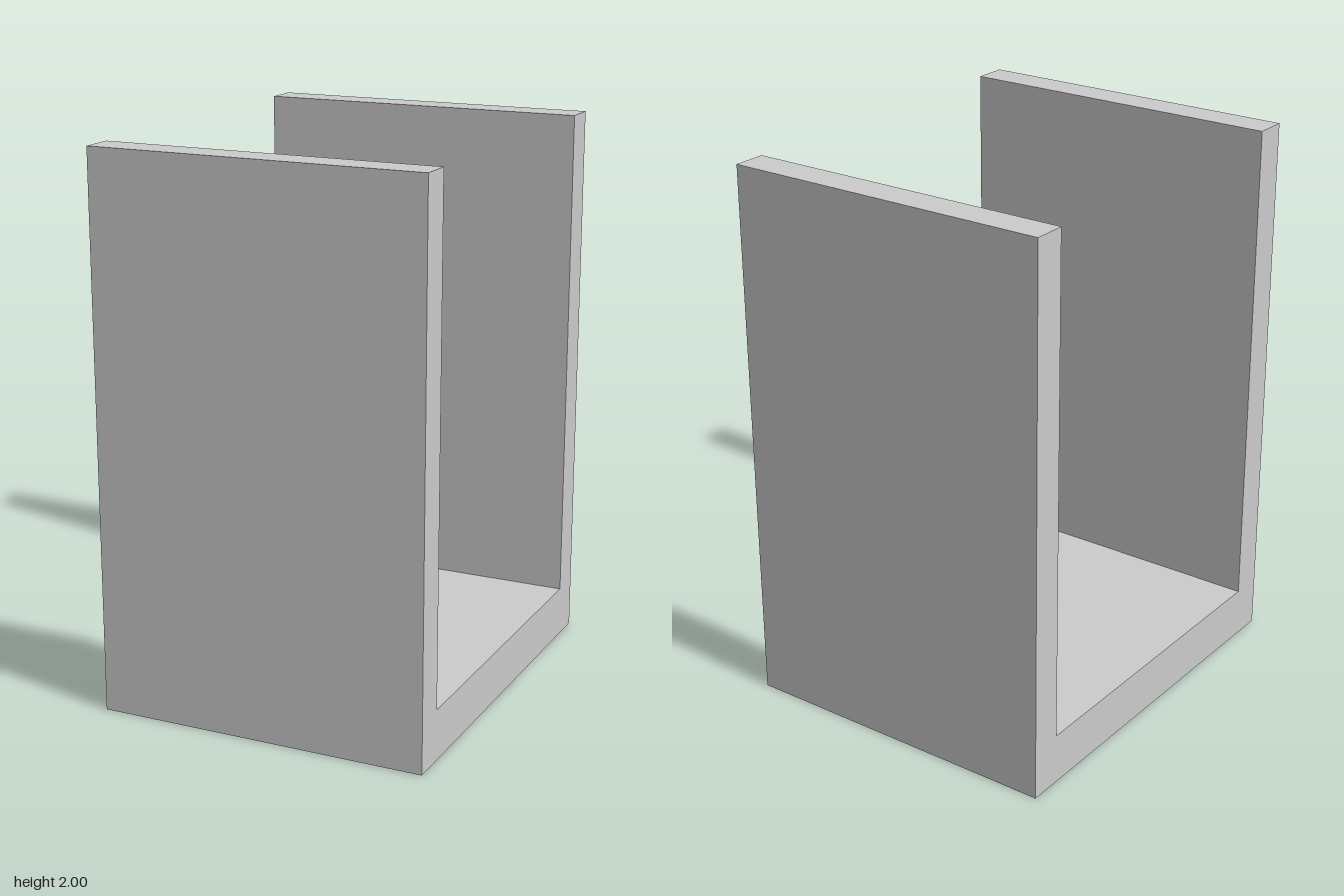
import * as THREE from 'three';

export function createModel() {
  const group = new THREE.Group();
  group.name = 'channelBracket';

  const width = 1.212;      // along x
  const outer = 0.727;      // half depth outside the walls
  const inner = 0.606;      // half depth between the walls
  const height = 2;
  const floor = 0.185;      // base thickness

  // U-shaped cross-section, swept along x
  const profile = new THREE.Shape([
    [-outer, 0], [outer, 0], [outer, height], [inner, height],
    [inner, floor], [-inner, floor], [-inner, height], [-outer, height],
  ].map(([z, y]) => new THREE.Vector2(z, y)));

  const geometry = new THREE.ExtrudeGeometry(profile, { depth: width, bevelEnabled: false });
  geometry.translate(0, 0, -width / 2);
  geometry.rotateY(Math.PI / 2);

  const channel = new THREE.Mesh(
    geometry,
    new THREE.MeshStandardMaterial({ color: 0xcccccc, flatShading: true }),
  );
  channel.name = 'uChannel';
  group.add(channel);
  return group;
}
